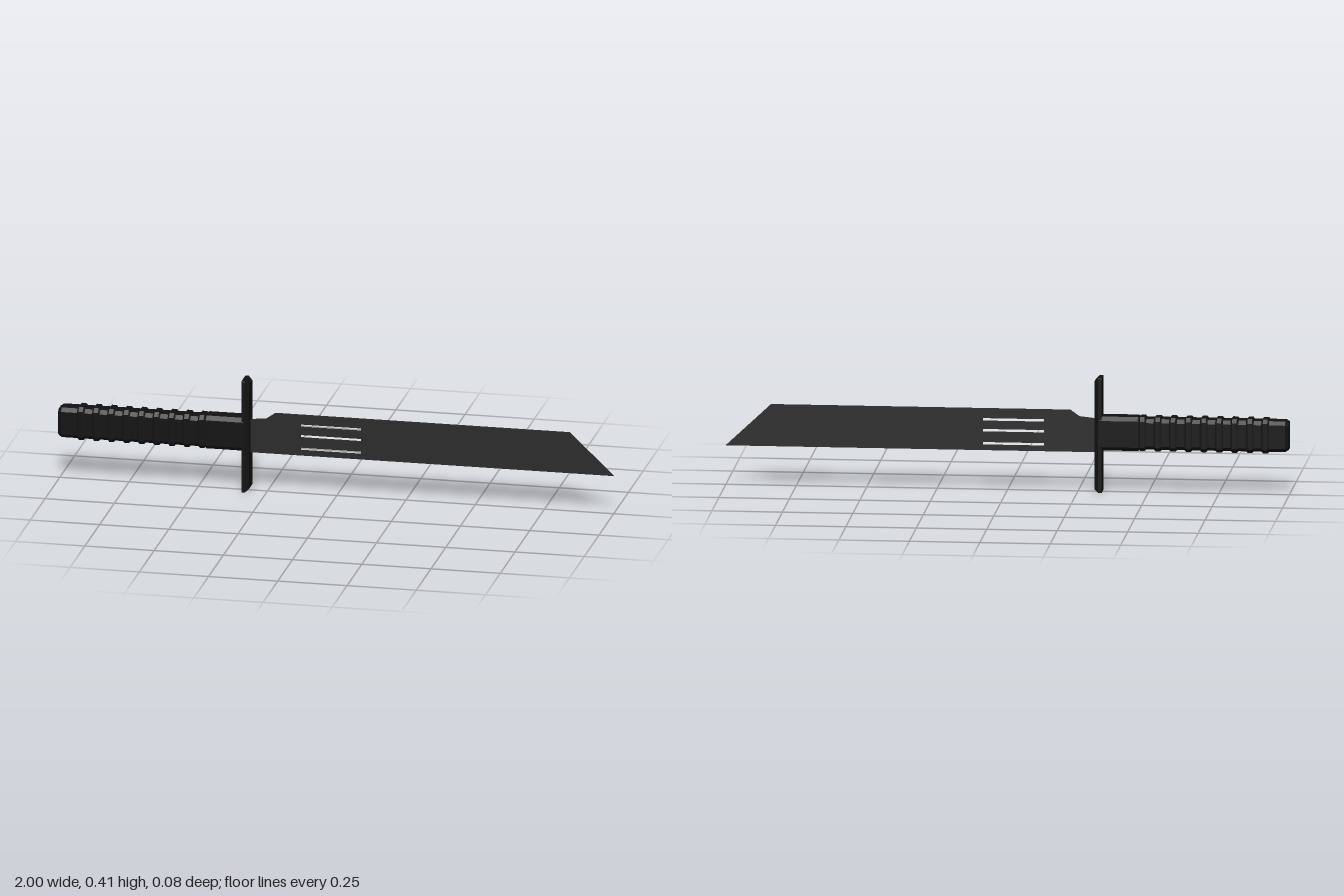
import * as THREE from 'three';

const CY = 0.213; // height of the long axis
const black = new THREE.MeshStandardMaterial({ color: 0x111111, flatShading: true });
const steel = new THREE.MeshStandardMaterial({ color: 0x2a2a2a, flatShading: true });

// Chamfered rectangle around the x axis, counter-clockwise seen from +x
function ring([x, hy, hz, c], cy) {
  return [
    [hz, hy - c], [hz - c, hy], [c - hz, hy], [-hz, hy - c],
    [-hz, c - hy], [c - hz, -hy], [hz - c, -hy], [hz, c - hy],
  ].map(([z, y]) => [x, cy + y, -z]);
}

// Closed solid through sections [x, half height, half depth, chamfer], x rising
function loft(sections, cy = CY) {
  const rings = sections.map((s) => ring(s, cy));
  const pos = [];
  const tri = (a, b, c) => pos.push(...a, ...b, ...c);
  const n = rings[0].length;
  // rings run downward from -z over the top, so reverse them once
  rings.forEach((r) => r.reverse());
  for (let k = 0; k < rings.length - 1; k++) {
    const a = rings[k], b = rings[k + 1];
    for (let i = 0; i < n; i++) {
      const j = (i + 1) % n;
      tri(a[i], a[j], b[j]);
      tri(a[i], b[j], b[i]);
    }
  }
  const first = rings[0], last = rings[rings.length - 1];
  for (let i = 1; i < n - 1; i++) {
    tri(first[0], first[i + 1], first[i]);
    tri(last[0], last[i], last[i + 1]);
  }
  // make the winding face outward whichever way the ring runs
  const area = first.reduce((s, p, i) => {
    const q = first[(i + 1) % n];
    return s + p[1] * q[2] - q[1] * p[2];
  }, 0);
  if (area < 0) {
    for (let t = 0; t < pos.length; t += 9) {
      for (let m = 0; m < 3; m++) {
        [pos[t + 3 + m], pos[t + 6 + m]] = [pos[t + 6 + m], pos[t + 3 + m]];
      }
    }
  }
  const g = new THREE.BufferGeometry();
  g.setAttribute('position', new THREE.Float32BufferAttribute(pos, 3));
  g.computeVertexNormals();
  return g;
}

export function createModel() {
  const model = new THREE.Group();
  const add = (name, geometry, material, parent = model) => {
    const mesh = new THREE.Mesh(geometry, material);
    mesh.name = name;
    parent.add(mesh);
  };

  // Blade: flat plate with an angled tip, a notch at the guard and three slots
  const outline = new THREE.Shape([
    [-0.33, 0.141], [1, 0.141], [0.84, 0.291], [-0.222, 0.291],
    [-0.255, 0.268], [-0.33, 0.26],
  ].map(([x, y]) => new THREE.Vector2(x, y)));
  for (const y of [0.251, 0.212, 0.165]) {
    outline.holes.push(new THREE.Path([
      [-0.13, y - 0.005], [-0.13, y + 0.005], [0.088, y + 0.005], [0.088, y - 0.005],
    ].map(([x, v]) => new THREE.Vector2(x, v))));
  }
  const plate = new THREE.ExtrudeGeometry(outline, { depth: 0.008, bevelEnabled: false });
  plate.translate(0, 0, -0.004);
  add('blade', plate, steel);

  // Guard: tall plate bevelled on the blade side
  add('guard', loft([
    [-0.337, 0.206, 0.037, 0.002],
    [-0.325, 0.206, 0.037, 0.002],
    [-0.311, 0.194, 0.028, 0.002],
  ], 0.206), black);

  // Handle: core with a chamfered pommel end, and a collar behind the guard
  add('grip', loft([
    [-1, 0.048, 0.03, 0.01],
    [-0.988, 0.055, 0.037, 0.013],
    [-0.46, 0.055, 0.037, 0.013],
  ]), black);
  add('collar', loft([
    [-0.472, 0.056, 0.037, 0.013],
    [-0.465, 0.061, 0.039, 0.014],
    [-0.33, 0.061, 0.039, 0.014],
  ]), black);

  // Raised ribs round the grip
  const ribs = new THREE.Group();
  ribs.name = 'gripRibs';
  for (let i = 0; i < 9; i++) {
    const x = -0.917 + i * 0.0545;
    add('gripRib', loft([
      [x - 0.015, 0.054, 0.0365, 0.013],
      [x - 0.008, 0.061, 0.039, 0.014],
      [x + 0.008, 0.061, 0.039, 0.014],
      [x + 0.015, 0.054, 0.0365, 0.013],
    ]), black, ribs);
  }
  model.add(ribs);
  return model;
}
